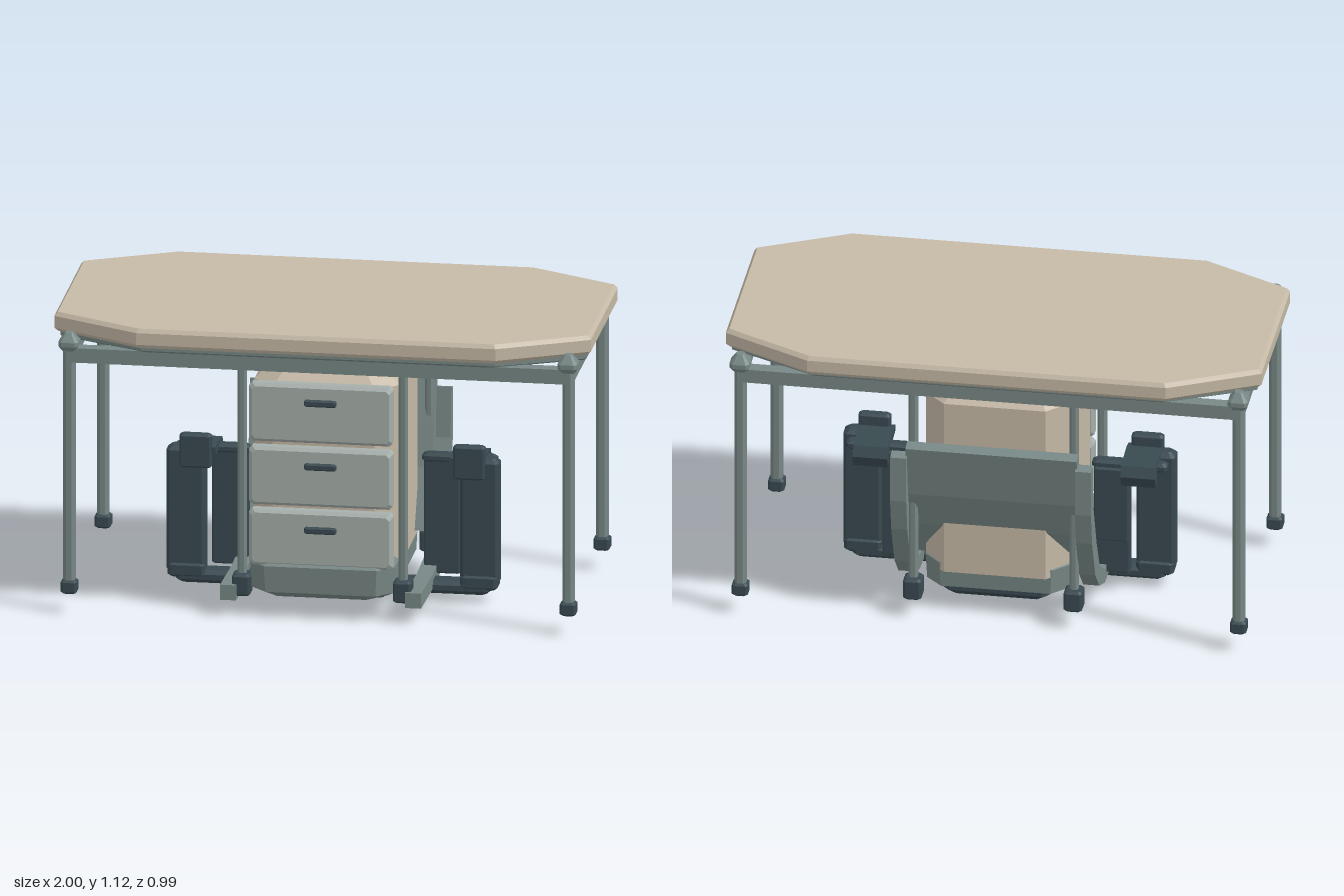
import * as THREE from 'three';

const mat = (name, color) => {
  const m = new THREE.MeshStandardMaterial({ color, flatShading: true });
  m.name = name;
  return m;
};

// Stack of eight-sided rings, each [y, halfX, halfZ, cutX, cutZ], closed at both ends
function loft(rings) {
  const loops = rings.map(([y, x, z, cx, cz]) => [
    [x, y, z - cz], [x - cx, y, z], [cx - x, y, z], [-x, y, z - cz],
    [-x, y, cz - z], [cx - x, y, -z], [x - cx, y, -z], [x, y, cz - z],
  ]);
  const v = [];
  const tri = (a, b, c) => v.push(...a, ...b, ...c);
  for (let r = 0; r < loops.length - 1; r++) {
    for (let i = 0; i < 8; i++) {
      const j = (i + 1) % 8, a = loops[r], b = loops[r + 1];
      tri(a[i], b[j], b[i]);
      tri(a[i], a[j], b[j]);
    }
  }
  const low = loops[0], top = loops[loops.length - 1];
  for (let i = 1; i < 7; i++) {
    tri(low[0], low[i + 1], low[i]);
    tri(top[0], top[i], top[i + 1]);
  }
  const g = new THREE.BufferGeometry();
  // rings run +x to +z to -x, so flip every face to point outwards
  for (let k = 0; k < v.length; k += 9) {
    for (let n = 0; n < 3; n++) [v[k + 3 + n], v[k + 6 + n]] = [v[k + 6 + n], v[k + 3 + n]];
  }
  g.setAttribute('position', new THREE.Float32BufferAttribute(v, 3));
  const p = g.attributes.position;
  // side test: first side triangle must face away from the axis
  const a = new THREE.Vector3().fromBufferAttribute(p, 0);
  const b = new THREE.Vector3().fromBufferAttribute(p, 1);
  const c = new THREE.Vector3().fromBufferAttribute(p, 2);
  if (b.clone().sub(a).cross(c.clone().sub(a)).dot(new THREE.Vector3(a.x, 0, a.z)) < 0) {
    for (let k = 0; k < v.length; k += 9) {
      for (let n = 0; n < 3; n++) [v[k + 3 + n], v[k + 6 + n]] = [v[k + 6 + n], v[k + 3 + n]];
    }
    g.setAttribute('position', new THREE.Float32BufferAttribute(v, 3));
  }
  g.computeVertexNormals();
  return g;
}

// Box with all horizontal and upright edges chamfered
function block(w, h, d, c) {
  const x = w / 2, y = h / 2, z = d / 2;
  return loft([
    [-y, x - c, z - c, c, c], [c - y, x, z, c, c],
    [y - c, x, z, c, c], [y, x - c, z - c, c, c],
  ]);
}

// Side profile of [z, y] points, given a width along x
function sideProfile(points, width) {
  const s = new THREE.Shape(points.map(([z, y]) => new THREE.Vector2(z, y)));
  const g = new THREE.ExtrudeGeometry(s, { depth: width, bevelEnabled: false });
  return g.rotateY(-Math.PI / 2).translate(width / 2, 0, 0);
}

export function createModel() {
  const model = new THREE.Group();
  model.name = 'desk';
  const wood = mat('warm beige', 0xc6baa7);
  const steel = mat('grey green steel', 0x788886);
  const pale = mat('pale grey', 0xa6b0ab);
  const dark = mat('dark slate', 0x394a50);

  const add = (name, geo, material, x = 0, y = 0, z = 0) => {
    const m = new THREE.Mesh(geo, material);
    m.name = name;
    m.position.set(x, y, z);
    model.add(m);
    return m;
  };

  // Table top and the plate below it
  add('tableTop', loft([
    [1.05, 0.985, 0.485, 0.325, 0.165], [1.065, 1, 0.497, 0.33, 0.168],
    [1.11, 1, 0.497, 0.33, 0.168], [1.125, 0.988, 0.487, 0.326, 0.165],
  ]), wood);
  add('underPlate', loft([
    [1.022, 0.97, 0.445, 0.32, 0.15], [1.03, 0.98, 0.455, 0.32, 0.15],
    [1.051, 0.98, 0.455, 0.32, 0.15],
  ]), steel);

  // Table frame
  for (const s of [-1, 1]) {
    add('longRail', new THREE.BoxGeometry(1.86, 0.04, 0.035), steel, 0, 0.987, s * 0.42);
    add('longRailLip', new THREE.BoxGeometry(1.86, 0.02, 0.05), steel, 0, 1.015, s * 0.42);
    add('endRail', new THREE.BoxGeometry(0.035, 0.04, 0.84), steel, s * 0.93, 0.987, 0);
    add('endRailLip', new THREE.BoxGeometry(0.05, 0.02, 0.84), steel, s * 0.93, 1.015, 0);
  }
  const finial = loft([
    [1.012, 0.025, 0.025, 0.008, 0.008], [1.03, 0.037, 0.037, 0.012, 0.012],
    [1.047, 0.037, 0.037, 0.012, 0.012], [1.08, 0.014, 0.014, 0.005, 0.005],
  ]);
  for (const x of [-1, 1]) {
    for (const z of [-1, 1]) {
      add('tableLeg', block(0.044, 0.92, 0.044, 0.012), steel, x * 0.93, 0.56, z * 0.415);
      add('tableFoot', block(0.06, 0.052, 0.06, 0.008), dark, x * 0.93, 0.1, z * 0.415);
      add('legFinial', finial, steel, x * 0.93, 0, z * 0.42);
      // Posts around the cabinet
      add('cabinetPost', block(0.034, 0.83, 0.034, 0.009), steel, x * 0.3, 0.54, z * 0.322);
      add('postCap', block(0.05, 0.018, 0.05, 0.006), steel, x * 0.3, 0.952, z * 0.322);
      add('postFoot', block(0.068, 0.083, 0.076, 0.008), dark, x * 0.3, 0.112, z * 0.326);
    }
  }

  // Cabinet body tapering towards the table top
  add('cabinetBody', loft([
    [0.17, 0.27, 0.305, 0.08, 0.082], [0.87, 0.27, 0.305, 0.08, 0.082],
    [1.025, 0.115, 0.15, 0.035, 0.04],
  ]), wood);
  add('cabinetTray', loft([
    [0.075, 0.235, 0.3, 0.07, 0.07], [0.1, 0.265, 0.335, 0.06, 0.06],
    [0.2, 0.27, 0.34, 0.06, 0.06], [0.222, 0.245, 0.315, 0.06, 0.06],
  ]), steel, 0, 0, 0.05);
  add('rearBaseBlock', block(0.4, 0.11, 0.24, 0.025), dark, 0, 0.115, -0.165);
  add('underBlock', block(0.36, 0.035, 0.2, 0.015), dark, 0, 0.07, -0.08);

  // Drawers and handles
  for (const [y0, y1, hy] of [[0.2, 0.415, 0.345], [0.433, 0.657, 0.59], [0.677, 0.902, 0.835]]) {
    const front = block(0.535, 0.055, y1 - y0, 0.012).rotateX(Math.PI / 2);
    add('drawer', front, pale, 0, (y0 + y1) / 2, 0.355);
    add('drawerHandle', block(0.12, 0.025, 0.022, 0.005), dark, 0, hy, 0.386);
  }

  // Runners that curve up at the back, with the back panel between them
  const runner = [
    [0.38, 0.06], [0.1, 0.05], [-0.08, 0.055], [-0.21, 0.11], [-0.3, 0.2], [-0.375, 0.37], [-0.4, 0.5],
    [-0.4, 0.68], [-0.36, 0.69], [-0.34, 0.5], [-0.27, 0.32], [-0.2, 0.19], [-0.09, 0.115], [0.1, 0.105], [0.38, 0.118],
  ].reverse();
  const panel = [
    [-0.345, 0.725], [-0.295, 0.56], [-0.255, 0.41], [-0.15, 0.195],
    [-0.19, 0.19], [-0.3, 0.36], [-0.355, 0.51], [-0.39, 0.715],
  ].reverse();
  for (const s of [-1, 1]) {
    add('runner', sideProfile(runner, 0.06), steel, s * 0.345);
  }
  add('backPanel', sideProfile(panel, 0.64), steel);

  // Side wings carried by a low cross bar
  add('crossBar', block(1.17, 0.05, 0.085, 0.015), dark, 0, 0.055, 0.053);
  add('crossBarFoot', block(0.4, 0.035, 0.088, 0.014), dark, 0, 0.0175, 0.045);
  const armTop = [
    [0.09, 0.555], [0.05, 0.562], [-0.08, 0.548], [-0.1, 0.51], [-0.08, 0.465], [-0.06, 0.475], [-0.05, 0.515], [0.09, 0.53],
  ].reverse();
  for (const s of [-1, 1]) {
    add('outerColumn', block(0.145, 0.48, 0.075, 0.012), dark, s * 0.547, 0.31, 0.055);
    add('columnCap', block(0.13, 0.03, 0.06, 0.01), dark, s * 0.547, 0.54, 0.055);
    add('columnBase', block(0.14, 0.06, 0.09, 0.012), dark, s * 0.545, 0.08, 0.055);
    for (const z of [-0.012, -0.036]) {
      add('innerColumn', block(0.135, 0.44, 0.02, 0.006), dark, s * 0.395, 0.3, z);
    }
    add('wingBack', block(0.13, 0.3, 0.016, 0.005), dark, s * 0.395, 0.37, -0.053);
    add('armTop', sideProfile(armTop, 0.13), dark, s * 0.5);
    add('armBridge', block(0.28, 0.035, 0.05, 0.01), dark, s * 0.46, 0.525, -0.02);
    add('armBlock', block(0.12, 0.13, 0.042, 0.008), dark, s * 0.51, 0.54, 0.08);
  }
  return model;
}
